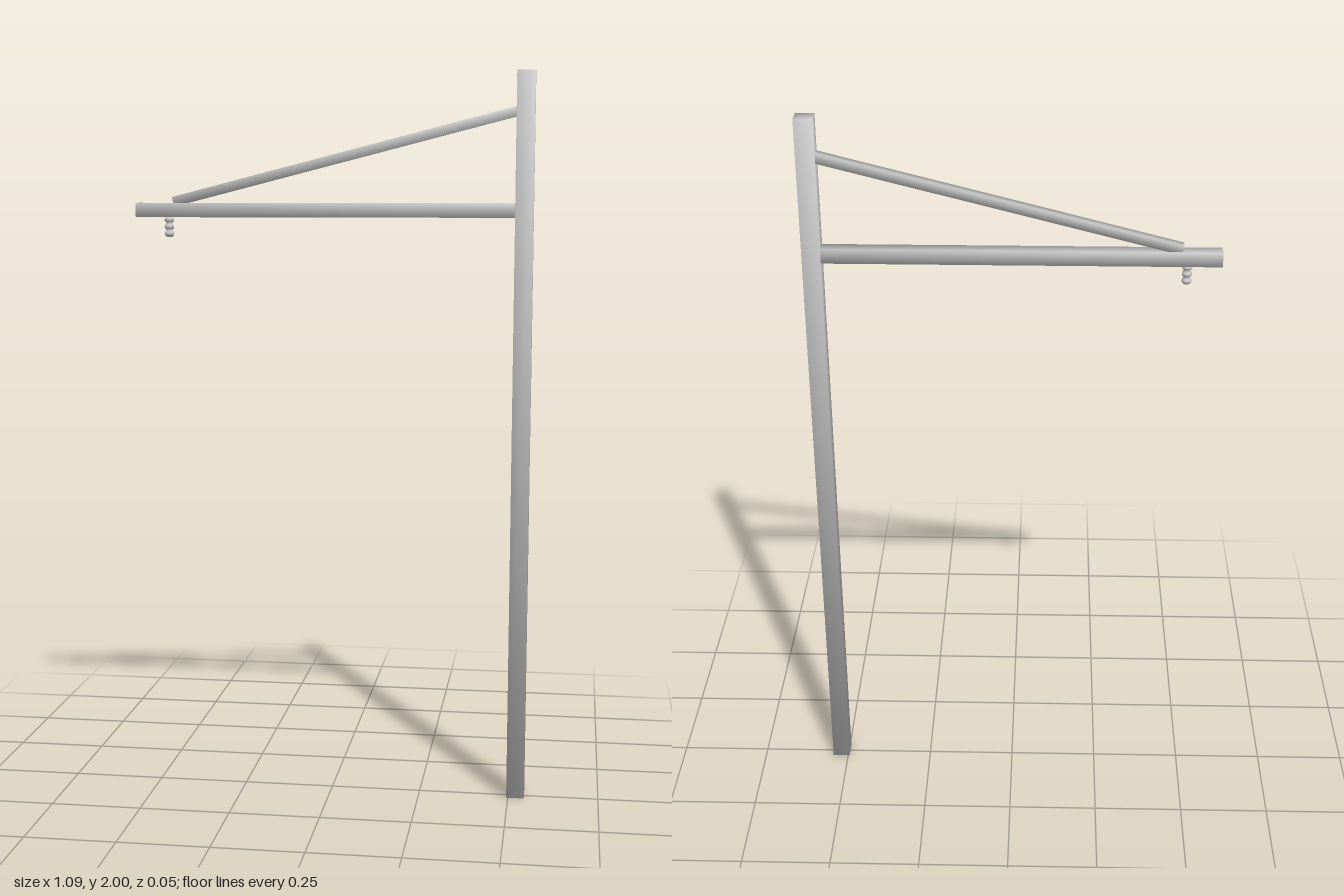
import * as THREE from 'three';

const grey = new THREE.MeshStandardMaterial({ color: 0xcccccc });

// Square bar whose corners share smooth, outward normals
function bar(name, w, h, d) {
  const geo = new THREE.BoxGeometry(w, h, d);
  const { position, normal } = geo.attributes;
  const n = new THREE.Vector3();
  for (let i = 0; i < position.count; i++) {
    n.fromBufferAttribute(position, i);
    n.set(Math.sign(n.x), Math.sign(n.y), Math.sign(n.z)).normalize();
    normal.setXYZ(i, n.x, n.y, n.z);
  }
  const mesh = new THREE.Mesh(geo, grey);
  mesh.name = name;
  return mesh;
}

export function createModel() {
  const model = new THREE.Group();
  model.name = 'bracketPost';

  // Upright post
  const post = bar('post', 0.049, 2, 0.049);
  post.position.set(0.52, 1, 0);
  model.add(post);

  // Horizontal arm, from its free end into the post
  const arm = bar('arm', 1.045, 0.039, 0.039);
  arm.position.set(-0.0225, 1.632, 0);
  model.add(arm);

  // Sloping brace between the arm and the post
  const a = new THREE.Vector2(-0.441, 1.655);
  const b = new THREE.Vector2(0.505, 1.896);
  const brace = bar('brace', a.distanceTo(b), 0.026, 0.026);
  brace.position.set((a.x + b.x) / 2, (a.y + b.y) / 2, 0);
  brace.rotation.z = Math.atan2(b.y - a.y, b.x - a.x);
  model.add(brace);

  // Ribbed insulator hanging under the arm: three rounded bulges
  const profile = [new THREE.Vector2(0, 0)];
  const bulges = 3, pitch = 0.019;
  for (let i = 0; i < bulges; i++) {
    for (const [r, t] of [[0.007, 0], [0.012, 0.25], [0.0135, 0.5], [0.012, 0.75]]) {
      profile.push(new THREE.Vector2(r, (i + t) * pitch));
    }
  }
  profile.push(new THREE.Vector2(0.007, bulges * pitch), new THREE.Vector2(0, bulges * pitch));
  const insulator = new THREE.Mesh(new THREE.LatheGeometry(profile, 16), grey);
  insulator.name = 'insulator';
  insulator.position.set(-0.455, 1.558, 0);
  model.add(insulator);

  return model;
}
